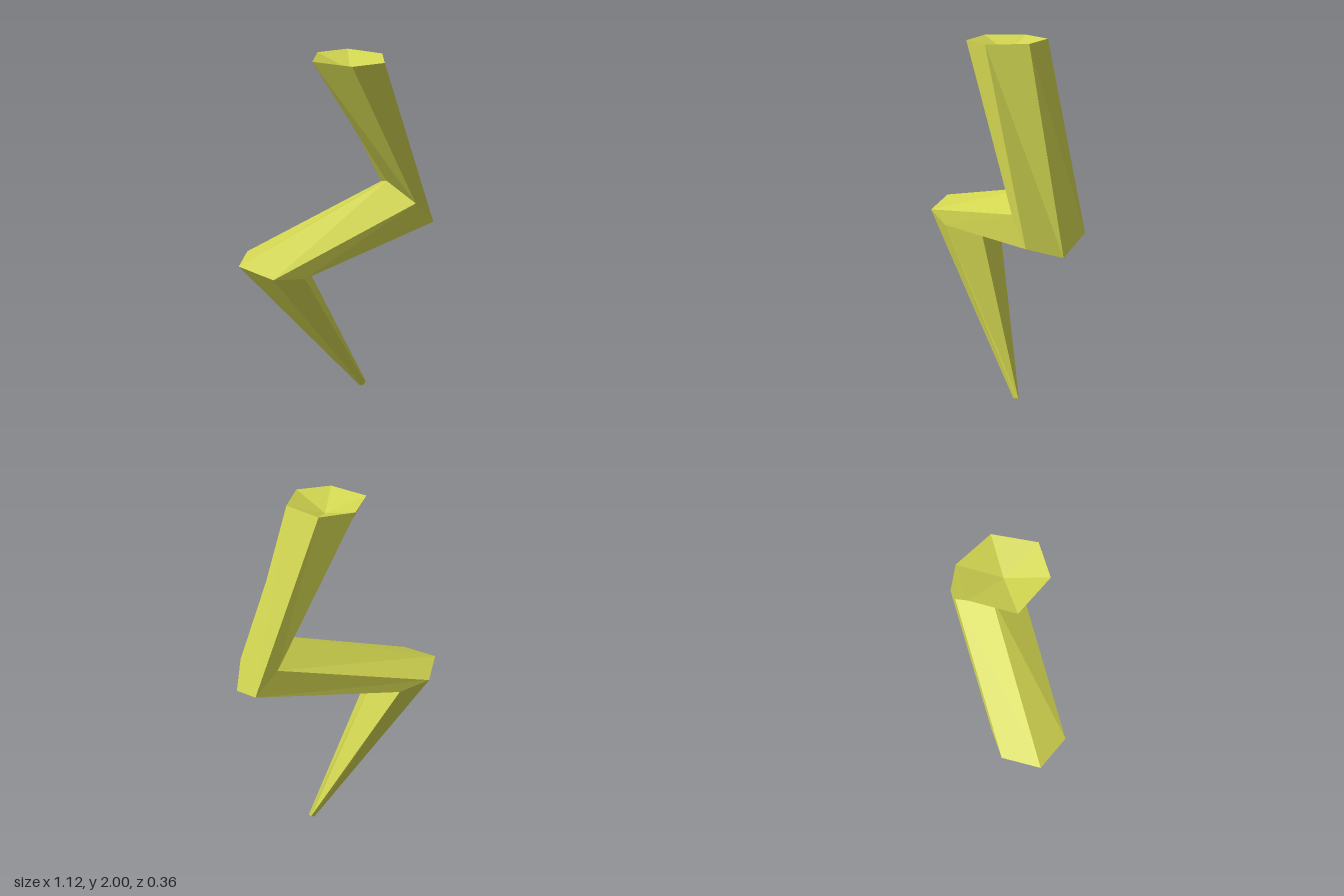
import * as THREE from 'three';

// Mirrored hexagonal section: outer ridge, front/back pair, front/back pair, inner ridge
function section(left, frontLeft, frontRight, right, zl, zr) {
  const p = ([x, y], z) => new THREE.Vector3(x, y, z);
  return [p(left, 0), p(frontLeft, zl), p(frontRight, zr),
    p(right, 0), p(frontRight, -zr), p(frontLeft, -zl)];
}

function meshFrom(points, name, material) {
  const geometry = new THREE.BufferGeometry().setFromPoints(points);
  geometry.computeVertexNormals(); // unshared corners give flat faces
  const mesh = new THREE.Mesh(geometry, material);
  mesh.name = name;
  return mesh;
}

// Six side faces between two sections
function segment(top, bottom, name, material) {
  const points = [];
  top.forEach((a, i) => {
    const j = (i + 1) % 6;
    points.push(a, bottom[i], bottom[j], a, bottom[j], top[j]);
  });
  return meshFrom(points, name, material);
}

// Triangle fan closing one end
function cap(ring, centre, name, material, flip = false) {
  const points = [];
  ring.forEach((a, i) => {
    const b = ring[(i + 1) % 6];
    points.push(centre, flip ? b : a, flip ? a : b);
  });
  return meshFrom(points, name, material);
}

export function createModel() {
  const group = new THREE.Group();
  group.name = 'bentLeg';
  const shell = new THREE.MeshStandardMaterial({ color: 0xd2d650, flatShading: true });
  shell.name = 'yellow green shell';

  const hip = section([-0.13, 2], [-0.015, 2], [0.155, 2], [0.25, 2], 0.175, 0.178);
  const knee = section([0.3, 1.325], [0.375, 1.245], [0.495, 1.113], [0.557, 1.045], 0.175, 0.178);
  const ankle = section([-0.56, 1.025], [-0.447, 1.003], [-0.277, 0.967], [-0.19, 0.945], 0.173, 0.178);
  const tip = section([0.157, 0.003], [0.168, 0.005], [0.188, 0.015], [0.2, 0.02], 0.012, 0.012);

  group.add(
    segment(hip, knee, 'upperLeg', shell),
    segment(knee, ankle, 'middleLeg', shell),
    segment(ankle, tip, 'lowerLeg', shell),
    // Slightly dished top and a small closed point
    cap(hip, new THREE.Vector3(0.07, 1.94, 0), 'dishedTop', shell),
    cap(tip, new THREE.Vector3(0.179, 0, 0), 'tipEnd', shell, true),
  );
  return group;
}
